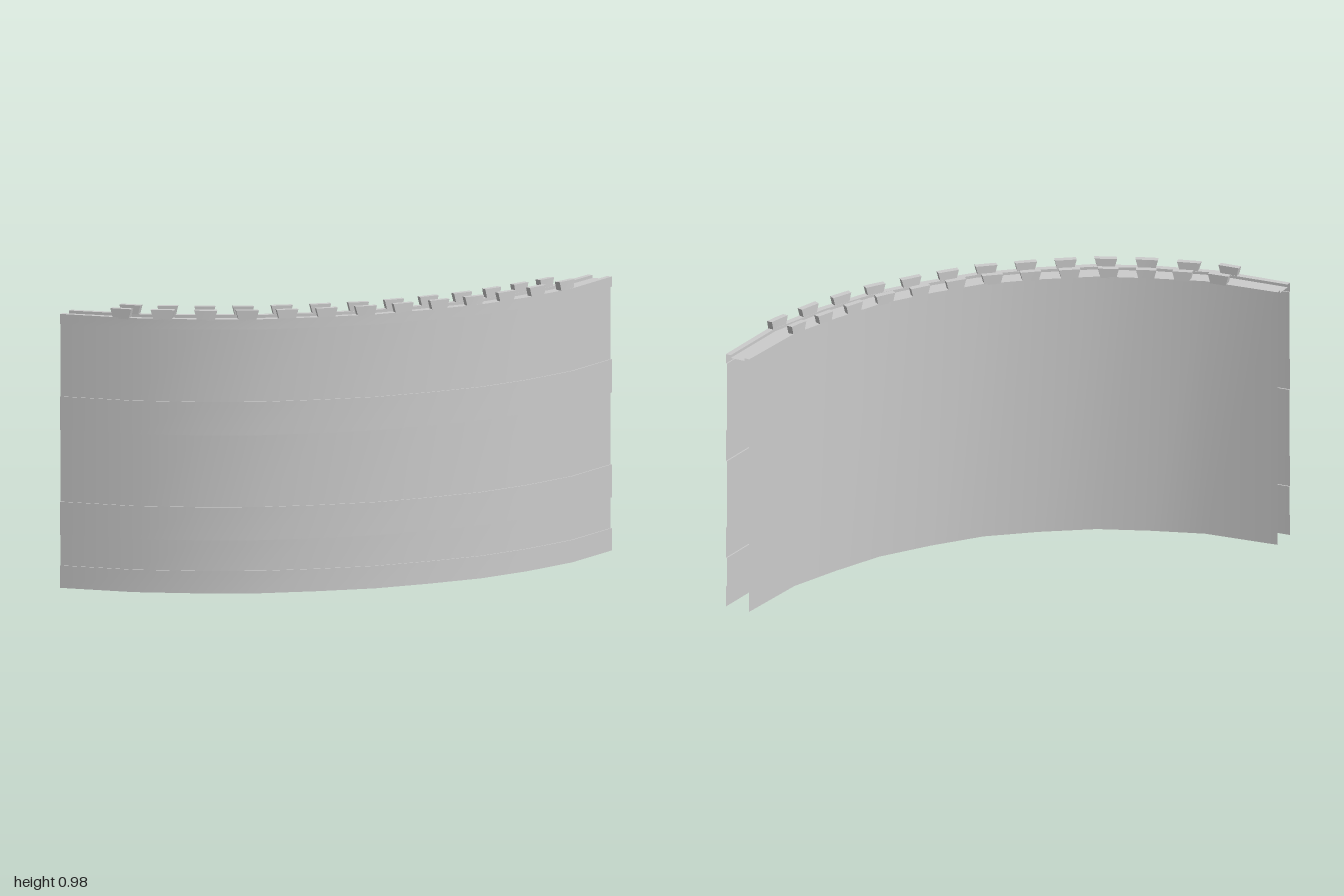
import * as THREE from 'three';
import { toCreasedNormals } from 'three/addons/utils/BufferGeometryUtils.js';

// Plan of half the curved wall, from the middle to one end: [outer x, outer z, inner x, inner z]
const half = [
  [0, 0.222, 0, 0.126], [0.2, 0.204, 0.19, 0.107], [0.4, 0.172, 0.385, 0.072],
  [0.59, 0.104, 0.557, 0.006], [0.795, 0.0, 0.727, -0.07], [1, -0.163, 0.936, -0.226],
];
const plan = [
  ...half.slice(1).reverse().map(([a, b, c, d]) => [-a, b, -c, d]),
  ...half,
];

// Point on a plan station, t = 0 on the inner face, t = 1 on the outer face
const across = ([ox, oz, ix, iz], t) => [ix + (ox - ix) * t, iz + (oz - iz) * t];

// Distance of each station along the centre line, zero in the middle
const dist = [0];
for (let i = 1; i < plan.length; i++) {
  const [ax, az] = across(plan[i - 1], 0.5), [bx, bz] = across(plan[i], 0.5);
  dist.push(dist[i - 1] + Math.hypot(bx - ax, bz - az));
}
const middle = dist[dist.length - 1] / 2;

// Point at distance s along the wall and t across it
function along(s, t) {
  const d = s + middle;
  let i = 1;
  while (i < plan.length - 1 && dist[i] < d) i++;
  const f = (d - dist[i - 1]) / (dist[i] - dist[i - 1]);
  return across(plan[i - 1].map((v, k) => v + (plan[i][k] - v) * f), t);
}

// Sweep an open profile of [t, y] points along the plan
function sweep(profile) {
  const pos = [], index = [], n = profile.length;
  for (const station of plan) {
    for (const [t, y] of profile) {
      const [x, z] = across(station, t);
      pos.push(x, y, z);
    }
  }
  for (let i = 0; i < plan.length - 1; i++) {
    for (let j = 0; j < n - 1; j++) {
      const a = i * n + j, b = a + n;
      index.push(a, b, b + 1, a, b + 1, a + 1);
    }
  }
  const geo = new THREE.BufferGeometry();
  geo.setAttribute('position', new THREE.Float32BufferAttribute(pos, 3));
  geo.setIndex(index);
  return toCreasedNormals(geo, Math.PI / 6);
}

// Battlement block bent to the wall, flaring slightly towards its top
function merlonGeometry(s, t) {
  const geo = new THREE.BoxGeometry(1, 1, 1, 2, 1, 1);
  const p = geo.attributes.position;
  for (let i = 0; i < p.count; i++) {
    const top = p.getY(i) > 0;
    const [x, z] = along(s + p.getX(i) * (top ? 0.074 : 0.056), t + p.getZ(i) * 0.2);
    p.setXYZ(i, x, top ? 0.975 : 0.94, z);
  }
  return toCreasedNormals(geo, Math.PI / 6);
}

export function createModel() {
  const model = new THREE.Group();
  model.name = 'curvedWall';
  const material = new THREE.MeshStandardMaterial({ color: 0xcccccc, side: THREE.DoubleSide });

  // Outer face with raised bands, open underneath and at both ends
  const recess = 0.95, profile = [];
  for (const [low, high] of [[0, 0.077], [0.183, 0.297], [0.545, 0.66], [0.91, 0.945]]) {
    if (low > 0) profile.push([recess, low]);
    profile.push([1, low], [1, high]);
    if (high < 0.9) profile.push([recess, high]);
  }
  // Parapets, sunken walkway and plain inner face
  profile.push([0.79, 0.945], [0.79, 0.935], [0.21, 0.935], [0.21, 0.945], [0, 0.945], [0, 0]);
  const wall = new THREE.Mesh(sweep(profile), material);
  wall.name = 'wall';
  model.add(wall);

  // A row of battlements on each parapet
  for (const [name, t] of [['outerBattlements', 0.9], ['innerBattlements', 0.1]]) {
    const row = new THREE.Group();
    row.name = name;
    for (let k = -6; k <= 6; k++) {
      const merlon = new THREE.Mesh(merlonGeometry(-0.033 + k * 0.135, t), material);
      merlon.name = 'merlon';
      row.add(merlon);
    }
    model.add(row);
  }
  return model;
}
